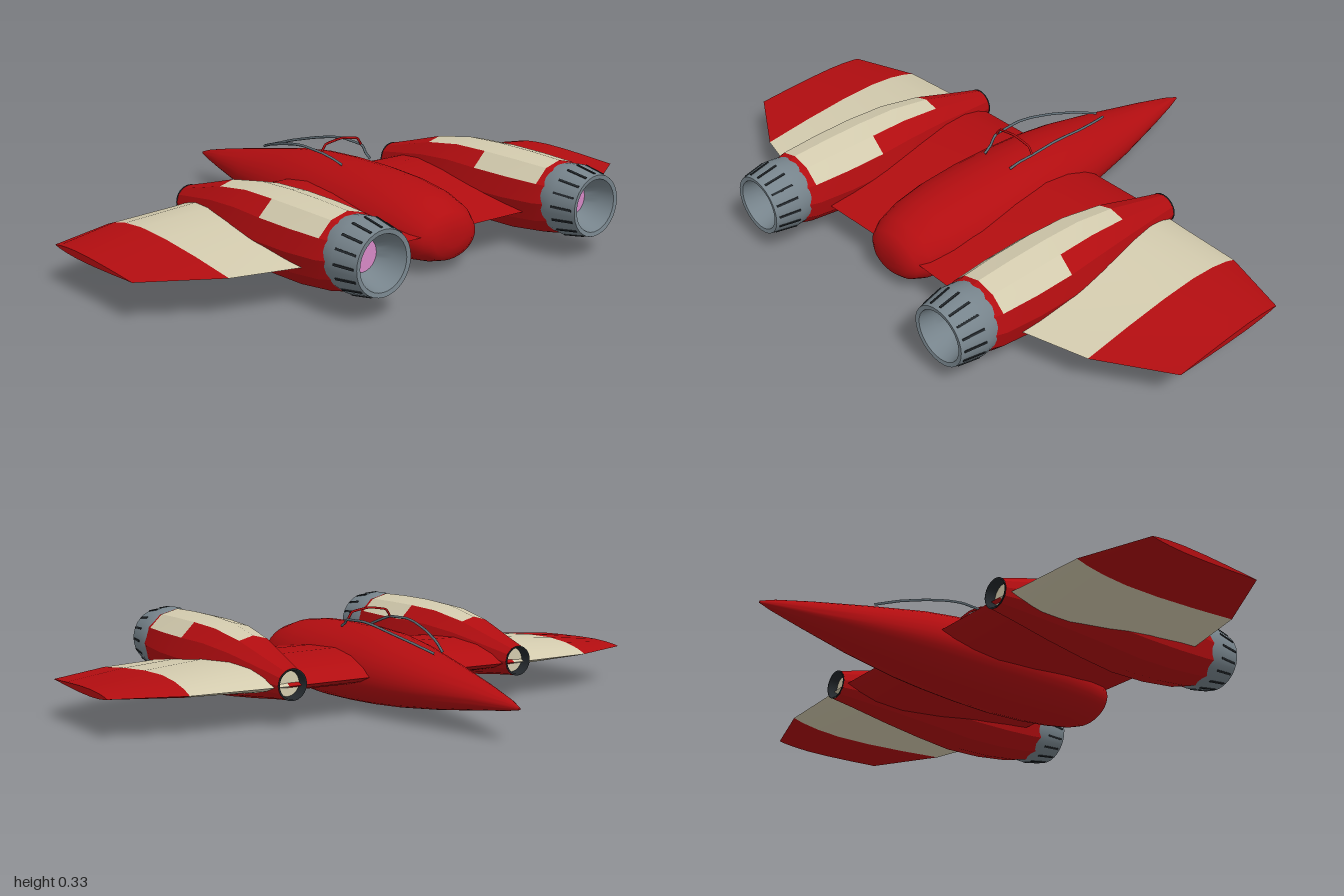
import * as THREE from 'three';
import { toCreasedNormals } from 'three/addons/utils/BufferGeometryUtils.js';

const mat = (name, color, side = THREE.FrontSide) =>
  Object.assign(new THREE.MeshStandardMaterial({ color, side }), { name });

// Skin a series of equal-length closed rings; keep(i, j) selects which quads to build.
function loft(rings, { crease = 0.7, caps = [true, true], keep = () => true } = {}) {
  const n = rings[0].length, pos = rings.flat(2), idx = [];
  for (let i = 0; i < rings.length - 1; i++)
    for (let j = 0; j < n; j++) {
      if (!keep(i, j)) continue;
      const k = (j + 1) % n, a = i * n + j, b = i * n + k, c = a + n, d = b + n;
      idx.push(a, b, c, b, d, c);
    }
  const last = (rings.length - 1) * n;
  for (let j = 1; j < n - 1; j++) {
    if (caps[0]) idx.push(0, j + 1, j);
    if (caps[1]) idx.push(last, last + j, last + j + 1);
  }
  const g = new THREE.BufferGeometry();
  g.setAttribute('position', new THREE.Float32BufferAttribute(pos, 3));
  g.setIndex(idx);
  return toCreasedNormals(g, crease);
}

// Wing cross-section at x, from leading edge over the top and back underneath
const FOIL = [[0, 0], [0.06, 0.4], [0.16, 0.78], [0.3, 1], [0.5, 0.9], [0.75, 0.52], [1, 0]];
function foil([x, z0, z1, y, up, down]) {
  const top = FOIL.map(([t, h]) => [x, y + h * up, z0 + t * (z1 - z0)]);
  const under = FOIL.slice(1, -1).reverse().map(([t, h]) => [x, y - h * down, z0 + t * (z1 - z0)]);
  return [...top, ...under];
}

export function createModel() {
  const red = mat('red paint', 0xb20d10);
  const cream = mat('cream paint', 0xd3cbae);
  const steel = mat('nozzle steel', 0x77848c, THREE.DoubleSide);
  const dark = mat('dark metal', 0x23282c, THREE.DoubleSide);
  const frame = mat('canopy frame grey', 0x5f6c74);
  const pink = mat('engine glow', 0xd688c6);

  const model = new THREE.Group();
  model.name = 'starfighter';
  const add = (name, geo, m, parent = model) => {
    const mesh = new THREE.Mesh(geo, m);
    mesh.name = name;
    parent.add(mesh);
    return mesh;
  };

  // Fuselage: z, half width, top, bottom, height of widest point
  const hull = [
    [-0.77, 0.003, 0.11, 0.102, 0.106], [-0.72, 0.021, 0.127, 0.092, 0.107],
    [-0.6, 0.056, 0.155, 0.074, 0.109], [-0.4, 0.108, 0.196, 0.044, 0.112],
    [-0.2, 0.147, 0.236, 0.02, 0.115], [-0.08, 0.16, 0.253, 0.01, 0.116],
    [0.06, 0.171, 0.26, 0.003, 0.116], [0.2, 0.177, 0.26, 0, 0.116],
    [0.34, 0.173, 0.254, 0.006, 0.115], [0.45, 0.158, 0.24, 0.015, 0.114],
    [0.53, 0.135, 0.217, 0.026, 0.112], [0.57, 0.11, 0.19, 0.038, 0.11],
    [0.588, 0.08, 0.165, 0.055, 0.108], [0.594, 0.035, 0.13, 0.085, 0.107],
  ].map(([z, w, top, bottom, y]) => Array.from({ length: 32 }, (_, j) => {
    const a = j / 32 * Math.PI * 2, s = Math.sin(a);
    return [w * Math.cos(a), y + s * (s > 0 ? top - y : y - bottom), z];
  }));
  add('fuselage', loft(hull, { crease: 0.9 }), red);

  // Wings: x, leading z, trailing z, chord height, rise above, drop below
  const mid = [0, -0.185, 0.56, 0.13, 0.07, 0.05];
  const root = [0.44, -0.185, 0.57, 0.128, 0.065, 0.047];
  const inner = [0.54, -0.177, 0.55, 0.127, 0.055, 0.038];
  const stripe = [0.77, -0.165, 0.49, 0.127, 0.037, 0.026];
  const tip = [1, -0.085, 0.35, 0.127, 0.012, 0.011];
  const flip = ([x, ...rest]) => [-x, ...rest];
  const wing = (...s) => loft(s.sort((a, b) => a[0] - b[0]).map(foil), { crease: 0.5 });
  add('centreWing', wing(flip(root), mid, root), red);
  for (const [side, f] of [['left', s => s], ['right', flip]]) {
    add(side + 'WingStripe', wing(f(root), f(inner), f(stripe)), cream);
    add(side + 'WingTip', wing(f(stripe), f(tip)), red);
  }

  // Nacelle rings: z, radius, centre height, rearward slant of the ring
  const nacelle = [
    [-0.2, 0.05, 0.136, 0], [-0.1, 0.07, 0.145, 0], [0.05, 0.102, 0.158, 0],
    [0.2, 0.124, 0.163, 0], [0.34, 0.134, 0.16, 0], [0.48, 0.132, 0.162, 0],
    [0.61, 0.122, 0.168, 0], [0.66, 0.109, 0.173, 0.15],
  ].map(([z, r, y, slant]) => Array.from({ length: 12 }, (_, j) => {
    const a = j / 12 * Math.PI * 2, s = r * Math.sin(a);
    return [r * Math.cos(a), y + s, z - s * slant];
  }));
  // Painted top: a narrow strip in front, a wide one behind
  const painted = (i, j) => (i >= 2 && i <= 3 && (j === 2 || j === 3)) ||
    (i >= 4 && i <= 5 && j >= 1 && j <= 4);
  const bodyGeo = loft(nacelle, { crease: 0.4, caps: [false, true], keep: (i, j) => !painted(i, j) });
  const panelGeo = loft(nacelle, { crease: 0.4, caps: [false, false], keep: painted });

  const lathe = pts => new THREE.LatheGeometry(pts.map(p => new THREE.Vector2(...p)), 32).rotateX(Math.PI / 2);
  const nozzleGeo = toCreasedNormals(lathe([[0.106, 0.61], [0.112, 0.64], [0.116, 0.68], [0.1, 0.77],
    [0.086, 0.768], [0.074, 0.72], [0.05, 0.675]]), 0.6);
  const intakeGeo = lathe([[0.051, -0.203], [0.045, -0.203], [0.038, -0.14]]);

  for (const [side, x] of [['left', 0.44], ['right', -0.44]]) {
    const engine = new THREE.Group();
    engine.name = side + 'Engine';
    engine.position.x = x;
    model.add(engine);
    add('nacelleBody', bodyGeo, red, engine);
    add('nacellePanel', panelGeo, cream, engine);

    // Intake at the nose of the nacelle
    add('intakeDuct', intakeGeo, dark, engine).position.y = 0.136;
    const plug = add('intakePlug', new THREE.CircleGeometry(0.044, 20), cream, engine);
    plug.position.set(0, 0.136, -0.17);
    plug.rotation.y = Math.PI;

    // Exhaust nozzle with slots and glowing core
    const nozzle = new THREE.Group();
    nozzle.name = 'exhaust';
    nozzle.position.y = 0.174;
    engine.add(nozzle);
    add('nozzle', nozzleGeo, steel, nozzle);
    add('glow', new THREE.CircleGeometry(0.052, 24), pink, nozzle).position.z = 0.677;
    for (let k = 0; k < 16; k++) {
      const pivot = new THREE.Group();
      pivot.name = 'slotPivot';
      pivot.rotation.z = k / 16 * Math.PI * 2;
      const slot = add('nozzleSlot', new THREE.BoxGeometry(0.007, 0.005, 0.075), dark, pivot);
      slot.position.set(0, 0.1085, 0.722);
      slot.rotation.x = 0.176;
      nozzle.add(pivot);
    }
  }

  // Canopy: two side rails and a roll bar
  const tube = (pts, r, tension = 0.2) => new THREE.TubeGeometry(new THREE.CatmullRomCurve3(
    pts.map(p => new THREE.Vector3(...p)), false, 'catmullrom', tension), 40, r, 6);
  for (const [side, s] of [['left', 1], ['right', -1]])
    add(side + 'CanopyRail', tube([[0.016, 0.217, -0.36], [0.045, 0.243, -0.28], [0.068, 0.266, -0.19],
      [0.08, 0.283, -0.11], [0.085, 0.29, -0.05], [0.085, 0.286, 0.05], [0.068, 0.27, 0.09],
      [0.06, 0.256, 0.125]].map(([x, y, z]) => [x * s, y, z]), 0.0045), frame);
  add('rollBar', tube([[-0.085, 0.286, 0.047], [-0.066, 0.312, 0.047], [0, 0.322, 0.047],
    [0.066, 0.312, 0.047], [0.085, 0.286, 0.047]], 0.004), red);

  return model;
}
